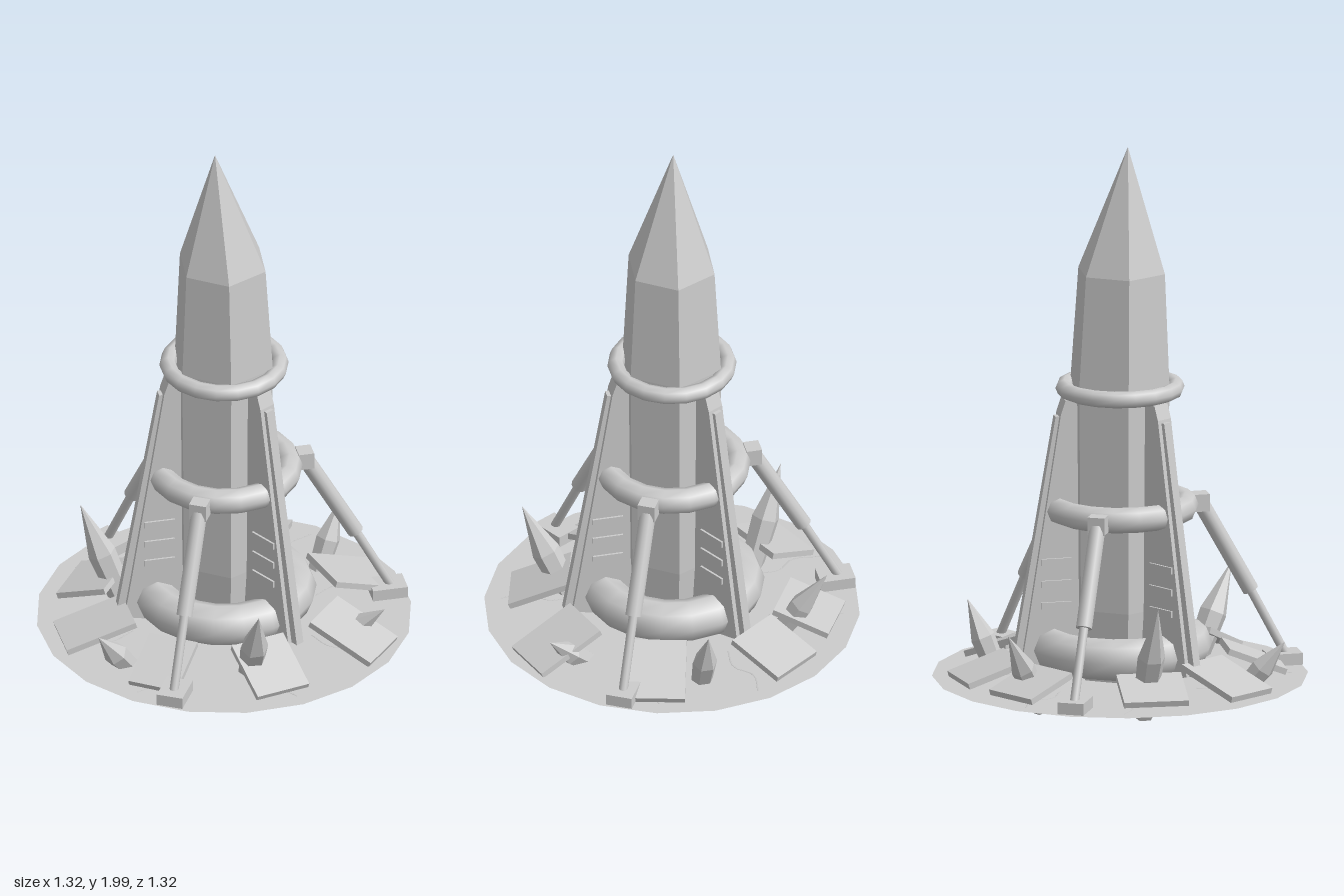
import * as THREE from 'three';

const V = (x, y, z) => new THREE.Vector3(x, y, z);

export function createModel() {
  const model = new THREE.Group();
  const stone = new THREE.MeshStandardMaterial({ color: 0xcccccc });
  stone.name = 'pale grey';
  stone.side = THREE.DoubleSide;

  const add = (parent, name, geometry) => {
    const mesh = new THREE.Mesh(geometry, stone);
    mesh.name = name;
    parent.add(mesh);
    return mesh;
  };
  const flat = (geometry) => {
    const g = geometry.toNonIndexed();
    g.computeVertexNormals();
    return g;
  };
  // Group whose local +z points outward at the given angle (0 = front)
  const spoke = (name, degrees) => {
    const g = new THREE.Group();
    g.name = name;
    g.rotation.y = THREE.MathUtils.degToRad(degrees);
    model.add(g);
    return g;
  };
  // Lathe that is given as [radius, height] pairs
  const lathe = (points, sides, start = 0) =>
    new THREE.LatheGeometry(points.map(([r, y]) => new THREE.Vector2(r, y)), sides, start);
  // Cylinder running between two points
  const rod = (parent, name, a, b, radius, sides) => {
    const m = add(parent, name, new THREE.CylinderGeometry(radius, radius, a.distanceTo(b), sides));
    m.position.copy(a).add(b).multiplyScalar(0.5);
    m.quaternion.setFromUnitVectors(V(0, 1, 0), b.clone().sub(a).normalize());
    return m;
  };
  // Upright plate from a [radius, height] outline, centred on its thickness
  const plate = (outline, thickness) => {
    const shape = new THREE.Shape(outline.map(([r, y]) => new THREE.Vector2(r, y)));
    const g = new THREE.ExtrudeGeometry(shape, { depth: thickness, bevelEnabled: false });
    return g.translate(0, 0, -thickness / 2).rotateY(-Math.PI / 2);
  };

  // Ground disc
  const disc = add(model, 'groundDisc', new THREE.CircleGeometry(0.66, 20).rotateX(-Math.PI / 2));
  disc.rotation.y = Math.PI / 2;
  disc.position.y = 0.095;

  // Main six-sided crystal with a slightly leaning tip
  const crystal = lathe([[0, 0.085], [0.155, 0.085], [0.177, 0.35], [0.185, 1.15], [0.162, 1.55], [0, 2]],
    6, THREE.MathUtils.degToRad(25));
  const pos = crystal.attributes.position;
  for (let i = 0; i < pos.count; i++) {
    const y = pos.getY(i);
    if (y > 1.9) pos.setXYZ(i, -0.032, y, -0.012);
    else if (y > 1.5) pos.setX(i, pos.getX(i) - 0.006);
  }
  add(model, 'mainCrystal', flat(crystal));

  // Rings around the crystal
  for (const [name, y, radius, tube, squash] of [
    ['baseRing', 0.205, 0.25, 0.075, 1], ['middleRing', 0.703, 0.23, 0.046, 1], ['collarRing', 1.13, 0.197, 0.03, 1],
  ]) {
    const g = new THREE.TorusGeometry(radius, tube, 8, 18).rotateX(Math.PI / 2).scale(1, squash, 1);
    add(model, name, g).position.y = y;
  }

  // Three buttress fins with outer rails and side slats
  for (const angle of [0, 120, 240]) {
    const fin = spoke('buttress', angle);
    add(fin, 'finPlate', plate([[0.13, 0.1], [0.365, 0.15], [0.34, 0.3], [0.222, 1.05], [0.205, 1.1], [0.13, 1.1]], 0.064));
    add(fin, 'finRail', plate([[0.33, 0.15], [0.392, 0.15], [0.237, 1.04], [0.2, 1.04]], 0.032));
    for (const y of [0.365, 0.443, 0.522]) {
      for (const side of [-1, 1]) {
        add(fin, 'finSlat', new THREE.BoxGeometry(0.009, 0.024, 0.11)).position.set(side * 0.035, y, 0.24);
      }
    }
  }

  // Three piston legs with brackets and feet
  for (const angle of [60, 180, 300]) {
    const leg = spoke('pistonLeg', angle);
    add(leg, 'bracket', new THREE.BoxGeometry(0.062, 0.062, 0.055)).position.set(0, 0.7, 0.29);
    rod(leg, 'pistonSleeve', V(0, 0.69, 0.295), V(0, 0.37, 0.473), 0.029, 12);
    rod(leg, 'pistonRod', V(0, 0.38, 0.468), V(0, 0.12, 0.605), 0.016, 10);
    add(leg, 'foot', new THREE.BoxGeometry(0.094, 0.042, 0.125)).position.set(0, 0.12, 0.588);
  }

  // Tilted rubble slabs: x, z, width, length, twist, tilt
  for (const [x, z, w, l, twist, tilt] of [
    [-0.235, -0.42, 0.23, 0.19, -0.08, 0.32], [0.2, -0.445, 0.21, 0.21, -0.1, 0.3],
    [0.41, -0.27, 0.21, 0.22, 0.05, 0.3], [-0.44, -0.19, 0.2, 0.26, -0.1, 0.3],
    [-0.44, 0.16, 0.18, 0.22, 0.1, 0.38], [0.45, 0.17, 0.22, 0.25, 0.1, 0.36],
    [-0.18, 0.43, 0.2, 0.23, 0.1, 0.42], [0.19, 0.46, 0.2, 0.26, -0.07, 0.38],
  ]) {
    const slab = add(model, 'rubbleSlab', new THREE.BoxGeometry(w, 0.022, l));
    slab.rotation.set(tilt, Math.atan2(x, z) + twist, 0, 'YXZ');
    slab.position.set(x, 0.15, z);
  }

  // Small shards leaning outward through the disc: base point, tip point, radius
  for (const [base, tip, r] of [
    [V(0.43, 0.03, 0), V(0.555, 0.33, 0), 0.044], [V(-0.42, 0.03, 0), V(-0.6, 0.25, 0), 0.043],
    [V(-0.17, 0.03, 0.31), V(-0.275, 0.41, 0.475), 0.05], [V(-0.17, 0.03, -0.31), V(-0.265, 0.45, -0.455), 0.05],
    [V(0.2, 0.03, -0.31), V(0.27, 0.33, -0.495), 0.043], [V(0.2, 0.03, 0.32), V(0.295, 0.22, 0.51), 0.042],
  ]) {
    const h = base.distanceTo(tip);
    const shard = add(model, 'shard', flat(lathe([[0, 0], [r * 0.8, 0], [r, h * 0.55], [0, h]], 6)));
    shard.position.copy(base);
    shard.quaternion.setFromUnitVectors(V(0, 1, 0), tip.clone().sub(base).normalize());
  }

  // Curved cracks radiating across the disc's underside
  for (let i = 0; i < 8; i++) {
    const bend = i % 2 ? 0.04 : -0.04;
    const path = new THREE.CatmullRomCurve3([V(0, 0, 0.34), V(bend, 0, 0.43), V(bend * 0.3, 0, 0.51), V(bend * 1.4, 0, 0.6)]);
    const crack = add(spoke('crackSpoke', 22 + i * 45), 'crack', new THREE.TubeGeometry(path, 10, 0.006, 4));
    crack.position.y = 0.093;
    crack.scale.y = 0.6;
  }

  return model;
}
